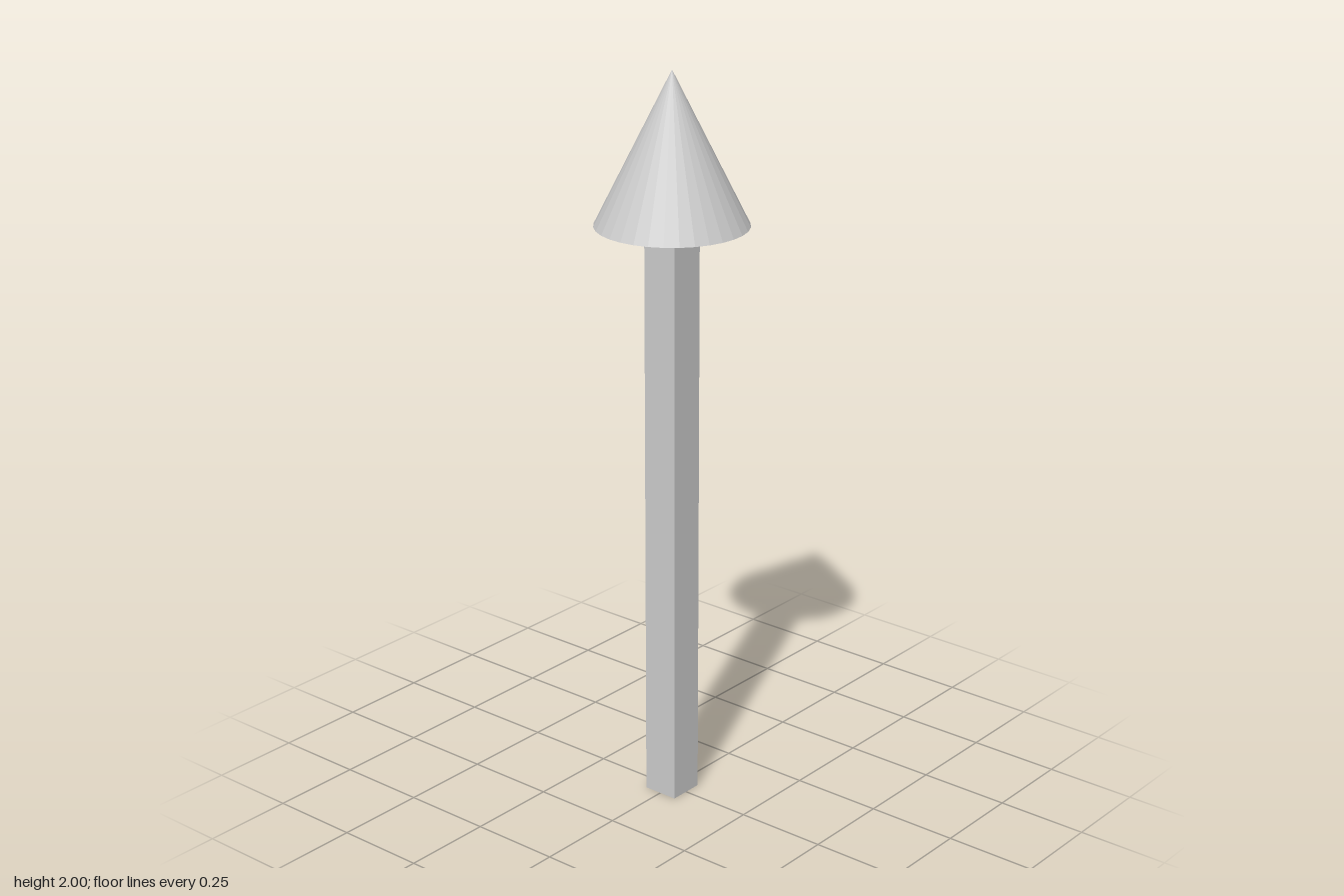
import * as THREE from 'three';

const SHAFT_WIDTH = 0.1;
const SHAFT_HEIGHT = 1.6;
const HEAD_RADIUS = 0.2;
const HEAD_HEIGHT = 0.4;

export function createModel() {
  const group = new THREE.Group();
  group.name = 'arrow';
  const material = new THREE.MeshStandardMaterial({ color: 0xcccccc, flatShading: true });

  // Square shaft standing on the ground
  const shaft = new THREE.Mesh(new THREE.BoxGeometry(SHAFT_WIDTH, SHAFT_HEIGHT, SHAFT_WIDTH), material);
  shaft.name = 'shaft';
  shaft.position.y = SHAFT_HEIGHT / 2;

  // Faceted conical head, closed underneath
  const head = new THREE.Mesh(new THREE.ConeGeometry(HEAD_RADIUS, HEAD_HEIGHT, 32), material);
  head.name = 'arrowHead';
  head.position.y = SHAFT_HEIGHT + HEAD_HEIGHT / 2;

  group.add(shaft, head);
  return group;
}
